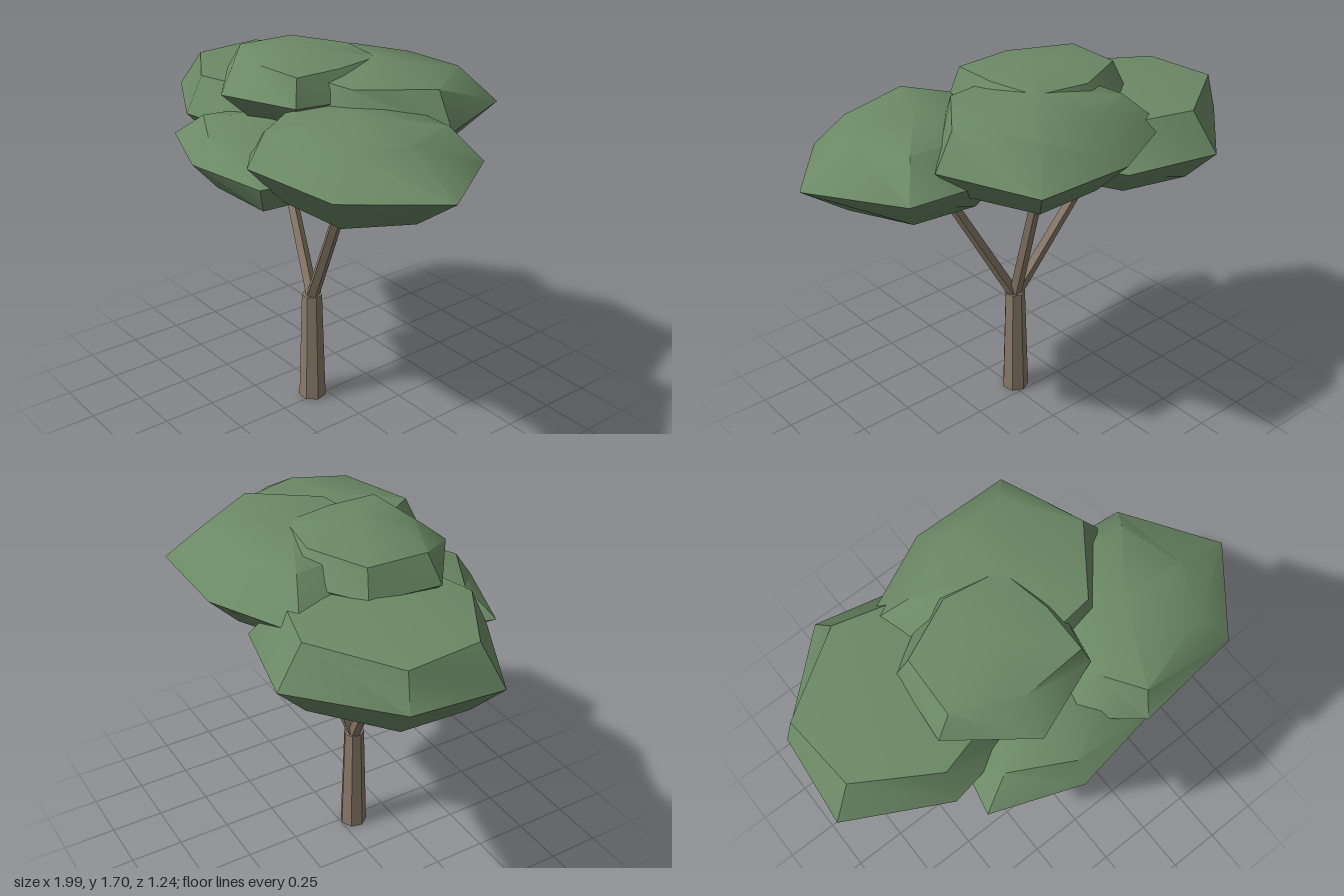
import * as THREE from 'three';
import { toCreasedNormals } from 'three/addons/utils/BufferGeometryUtils.js';

const SIDES = 7;

// Closed faceted pad: three seven-sided rings between a top and a bottom point.
// levels: y of top, upper ring, widest ring, lower ring, bottom.
// radii: reach of the widest ring, one per side; upper and lower scale it.
// turns: corners that sit off the regular angle, in radians.
function padGeometry({ centre: [cx, cz], levels, radii, upper, lower, turns = {} }) {
  const [top, ...rings] = levels;
  const bottom = rings.pop();
  const scales = [upper, radii.map(() => 1), lower];
  const pos = [cx, top, cz];
  rings.forEach((y, r) => {
    radii.forEach((radius, i) => {
      const angle = (i / SIDES) * Math.PI * 2 + (turns[i] ?? 0);
      const reach = radius * scales[r][i];
      pos.push(cx + Math.cos(angle) * reach, y, cz + Math.sin(angle) * reach);
    });
  });
  pos.push(cx, bottom, cz);

  const at = (ring, i) => 1 + ring * SIDES + (i % SIDES);
  const last = 1 + 3 * SIDES;
  const index = [];
  for (let i = 0; i < SIDES; i++) {
    index.push(0, at(0, i + 1), at(0, i));
    for (let r = 0; r < 2; r++) {
      const a = at(r, i), b = at(r, i + 1), c = at(r + 1, i), d = at(r + 1, i + 1);
      index.push(a, b, c, b, d, c);
    }
    index.push(at(2, i), at(2, i + 1), last);
  }
  const geo = new THREE.BufferGeometry();
  geo.setAttribute('position', new THREE.Float32BufferAttribute(pos, 3));
  geo.setIndex(index);
  return toCreasedNormals(geo, 0.75);
}

// Tapered limb between two points
function limb(name, from, to, r0, r1, sides, material) {
  const a = new THREE.Vector3(...from), b = new THREE.Vector3(...to);
  const dir = b.clone().sub(a);
  const geo = new THREE.CylinderGeometry(r1, r0, dir.length(), sides);
  const mesh = new THREE.Mesh(toCreasedNormals(geo, 0.5), material);
  mesh.name = name;
  mesh.position.copy(a).add(b).multiplyScalar(0.5);
  mesh.quaternion.setFromUnitVectors(new THREE.Vector3(0, 1, 0), dir.normalize());
  return mesh;
}

export function createModel() {
  const group = new THREE.Group();
  group.name = 'tree';
  const bark = new THREE.MeshStandardMaterial({ color: 0x8a7a69 });
  bark.name = 'bark';
  const leaves = new THREE.MeshStandardMaterial({ color: 0x6b8965 });
  leaves.name = 'leaves';

  // Trunk, with a flat side to the front, and three spreading branches
  const fork = [-0.025, 0.53, 0.065];
  const trunk = limb('trunk', [-0.025, 0, 0.065], [-0.025, 0.545, 0.065], 0.065, 0.048, 7, bark);
  trunk.rotateY(Math.PI);
  group.add(trunk);
  group.add(limb('rightBranch', fork, [-0.47, 1.24, -0.06], 0.031, 0.025, 5, bark));
  group.add(limb('leftBranch', fork, [0.37, 1.27, 0.165], 0.031, 0.025, 5, bark));
  group.add(limb('backBranch', fork, [0.04, 1.36, -0.215], 0.031, 0.025, 5, bark));

  // Foliage canopy
  const addPad = (name, shape) => {
    const mesh = new THREE.Mesh(padGeometry(shape), leaves);
    mesh.name = name;
    group.add(mesh);
  };
  addPad('rightFoliage', {
    centre: [-0.47, -0.12], levels: [1.55, 1.51, 1.34, 1.19, 1.13],
    radii: [0.52, 0.51, 0.49, 0.588, 0.513, 0.51, 0.51], turns: { 4: -0.15 },
    upper: [0.75, 0.78, 0.84, 0.79, 0.91, 0.75, 0.72],
    lower: [0.7, 0.7, 0.72, 0.755, 0.78, 0.72, 0.7],
  });
  addPad('leftFoliage', {
    centre: [0.43, 0.165], levels: [1.57, 1.525, 1.375, 1.22, 1.16],
    radii: [0.565, 0.455, 0.455, 0.49, 0.48, 0.44, 0.5], turns: { 2: 0.23 },
    upper: [0.53, 0.67, 0.84, 0.68, 0.65, 0.7, 0.7],
    lower: [0.62, 0.72, 0.68, 0.65, 0.65, 0.72, 0.7],
  });
  addPad('frontFoliage', {
    centre: [-0.04, 0.24], levels: [1.45, 1.4, 1.29, 1.17, 1.12],
    radii: [0.37, 0.44, 0.38, 0.52, 0.42, 0.4, 0.42], turns: { 1: -0.13 },
    upper: [0.65, 0.57, 0.8, 0.7, 0.7, 0.7, 0.7],
    lower: [0.78, 0.84, 0.72, 0.62, 0.7, 0.7, 0.7],
  });
  addPad('backFoliage', {
    centre: [0.07, -0.19], levels: [1.665, 1.62, 1.46, 1.31, 1.26],
    radii: [0.52, 0.41, 0.42, 0.48, 0.56, 0.45, 0.555],
    upper: [0.83, 0.88, 0.78, 0.7, 0.66, 0.64, 0.68],
    lower: [0.72, 0.72, 0.7, 0.7, 0.66, 0.68, 0.7],
  });
  addPad('topFoliage', {
    centre: [-0.1, 0.03], levels: [1.7, 1.66, 1.54, 1.43, 1.39],
    radii: [0.31, 0.36, 0.395, 0.435, 0.42, 0.38, 0.42], turns: { 1: -0.13, 3: 0.12 },
    upper: [0.75, 0.88, 0.62, 0.82, 0.86, 0.75, 0.72],
    lower: [0.72, 0.72, 0.7, 0.7, 0.72, 0.72, 0.7],
  });
  return group;
}
